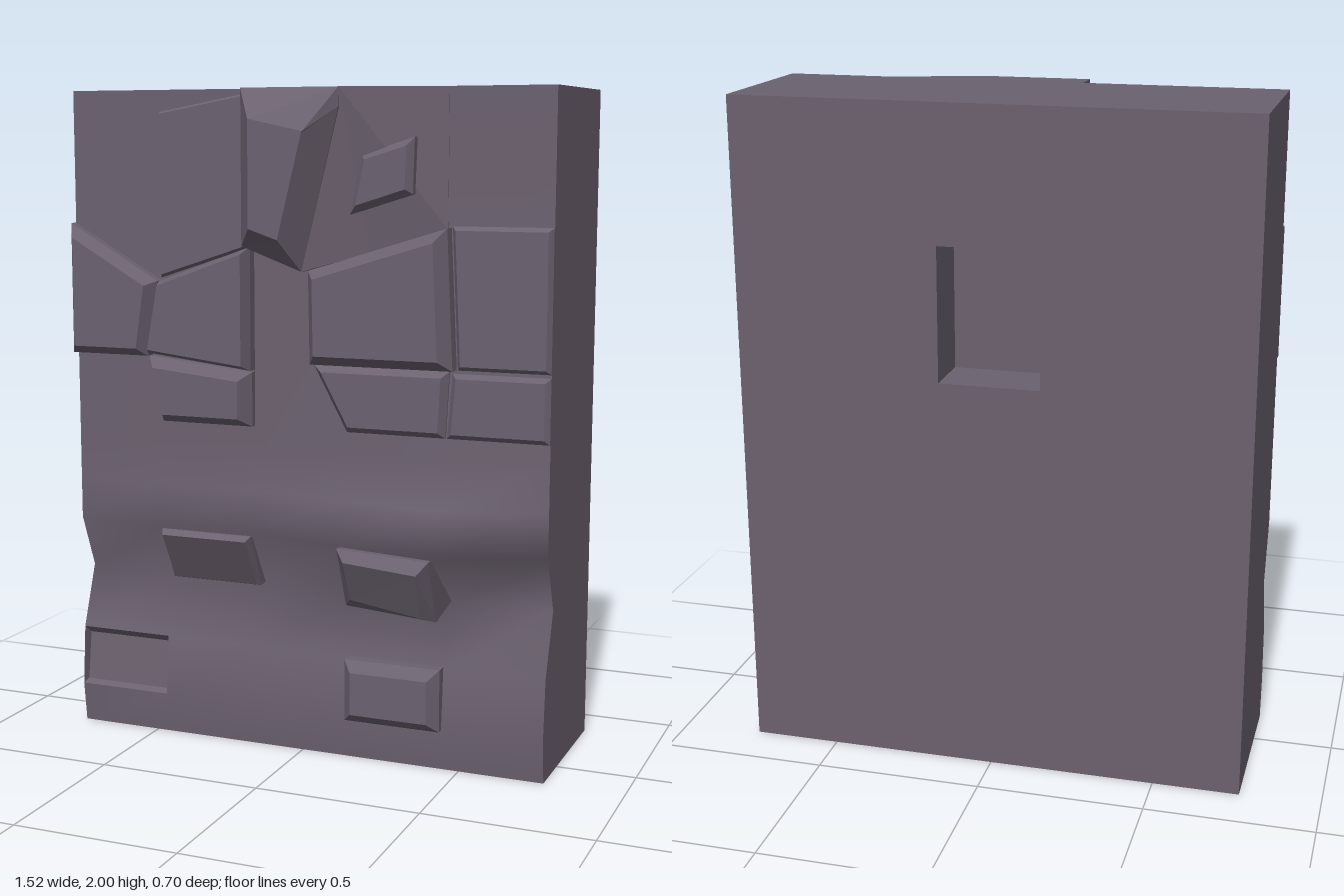
import * as THREE from 'three';

const material = new THREE.MeshStandardMaterial({ color: 0x6b616f });

function addMesh(group, name, geometry) {
  const mesh = new THREE.Mesh(geometry, material);
  mesh.name = name;
  group.add(mesh);
  return mesh;
}

// Flat-faced solid through matching rings (counter-clockwise from the front), last ring capped
function loft(rings, cap = true) {
  const out = [];
  const n = rings[0].length;
  for (let r = 0; r + 1 < rings.length; r++) {
    for (let i = 0; i < n; i++) {
      const j = (i + 1) % n;
      const [a, b, c, d] = [rings[r][i], rings[r][j], rings[r + 1][j], rings[r + 1][i]];
      out.push(...a, ...b, ...c, ...a, ...c, ...d);
    }
  }
  const last = rings[rings.length - 1];
  if (cap) for (let i = 1; i + 1 < n; i++) out.push(...last[0], ...last[i], ...last[i + 1]);
  const g = new THREE.BufferGeometry();
  g.setAttribute('position', new THREE.Float32BufferAttribute(out, 3));
  g.computeVertexNormals();
  return g;
}

const atZ = (pts, z) => pts.map(([x, y]) => [x, y, z]);

// Moves every edge of a counter-clockwise outline inward by d
function inset(pts, d) {
  const n = pts.length;
  const normal = (a, b) => {
    const l = Math.hypot(b[0] - a[0], b[1] - a[1]);
    return [(a[1] - b[1]) / l, (b[0] - a[0]) / l];
  };
  return pts.map((p, i) => {
    const u = normal(pts[(i + n - 1) % n], p);
    const v = normal(p, pts[(i + 1) % n]);
    const k = d / (1 + u[0] * v[0] + u[1] * v[1]);
    return [p[0] + (u[0] + v[0]) * k, p[1] + (u[1] + v[1]) * k];
  });
}

// Bevelled stone: straight sides up to the rim, then a chamfer to the face
const stone = (pts, rim, face, d) => loft([atZ(pts, 0.1), atZ(pts, rim), atZ(inset(pts, d), face)]);

export function createModel() {
  const group = new THREE.Group();
  group.name = 'stoneWall';

  // Core slab, and a back layer with a rectangular niche
  const core = addMesh(group, 'core', new THREE.BoxGeometry(1.52, 2, 0.25));
  core.position.set(0, 1, -0.055);
  const back = new THREE.Shape();
  back.moveTo(-0.76, 0).lineTo(0.76, 0).lineTo(0.76, 2).lineTo(-0.76, 2).closePath();
  const niche = new THREE.Path();
  niche.moveTo(-0.15, 1.2).lineTo(-0.15, 1.6).lineTo(0.15, 1.6).lineTo(0.15, 1.2).closePath();
  back.holes.push(niche);
  const backGeo = new THREE.ExtrudeGeometry(back, { depth: 0.17, bevelEnabled: false });
  addMesh(group, 'backWithNiche', backGeo.translate(0, 0, -0.35));

  // Smooth uneven front: one depth per column in each row
  const xs = [-0.76, -0.46, -0.15, 0.15, 0.45, 0.76];
  const flat = (z) => xs.map(() => z);
  const rows = [
    [0, flat(0.15)],
    [0.125, flat(0.165)],
    [0.31, flat(0.15)],
    [0.5, flat(0.08)],
    [0.67, [0.15, 0.18, 0.18, 0.22, 0.28, 0.15]],
    [0.8, [0.15, 0.17, 0.17, 0.2, 0.24, 0.15]],
    [0.94, flat(0.15)],
    [2, flat(0.15)],
  ];
  const cols = xs.length;
  const pos = [];
  const index = [];
  rows.forEach(([y, zs], r) => {
    xs.forEach((x, c) => {
      pos.push(x, y, zs[c]);
      const isPit = r === 1 && c === 0;
      if (r + 1 < rows.length && c + 1 < cols && !isPit) {
        const a = r * cols + c;
        index.push(a, a + 1, a + cols + 1, a, a + cols + 1, a + cols);
      }
    });
  });
  const front = new THREE.BufferGeometry();
  front.setAttribute('position', new THREE.Float32BufferAttribute(pos, 3));
  front.setIndex(index);
  front.computeVertexNormals();
  addMesh(group, 'unevenFront', front);

  // Edge strip joining the uneven front to the core
  const point = (r, c) => [xs[c], rows[r][0], rows[r][1][c]];
  const rim = [];
  const top = rows.length - 1;
  for (let c = 0; c < cols; c++) rim.push(point(0, c));
  for (let r = 1; r <= top; r++) rim.push(point(r, cols - 1));
  for (let c = cols - 2; c >= 0; c--) rim.push(point(top, c));
  for (let r = top - 1; r > 0; r--) rim.push(point(r, 0));
  addMesh(group, 'frontEdge', loft([atZ(rim, 0.06), rim], false));

  // Sunken stone at the lower edge
  const pit = [point(1, 0), point(1, 1), point(2, 1), point(2, 0)];
  addMesh(group, 'sunkenStone', loft([pit, [
    [-0.755, 0.135, 0.14], [-0.465, 0.135, 0.14], [-0.465, 0.285, 0.12], [-0.755, 0.285, 0.12]]]));

  // Fitted stones: outline, rim depth, face depth, chamfer width
  const stones = [
    [[[-0.76, 1.2], [-0.5, 1.2], [-0.465, 1.43], [-0.76, 1.6]], 0.18, 0.22, 0.025],
    [[[-0.5, 1.21], [-0.155, 1.17], [-0.155, 1.54], [-0.46, 1.43]], 0.18, 0.22, 0.015],
    [[[-0.455, 1], [-0.155, 1], [-0.155, 1.165], [-0.5, 1.2]], 0.17, 0.22, 0.027],
    [[[-0.46, 1.44], [-0.155, 1.54], [-0.155, 1.99], [-0.46, 1.935]], 0.16, 0.175, 0.007],
    [[[0.04, 1.2], [0.48, 1.2], [0.46, 1.605], [0.035, 1.475]], 0.19, 0.237, 0.03],
    [[[0.485, 1.2], [0.76, 1.2], [0.76, 1.61], [0.465, 1.61]], 0.155, 0.172, 0.012],
    [[[0.145, 1], [0.45, 1], [0.46, 1.195], [0.04, 1.195]], 0.155, 0.18, 0.018],
    [[[0.455, 1], [0.76, 1], [0.76, 1.19], [0.47, 1.19]], 0.155, 0.17, 0.014],
    [[[0.15, 0.125], [0.45, 0.125], [0.45, 0.315], [0.15, 0.315]], 0.185, 0.22, 0.03],
    [[[0.17, 1.64], [0.36, 1.7], [0.365, 1.86], [0.205, 1.81]], 0.2, 0.22, 0.018],
  ];
  stones.forEach(([pts, r, f, d], i) => addMesh(group, `stone${i + 1}`, stone(pts, r, f, d)));

  // Tall projecting boulder at the top
  const boulder = [[-0.155, 2], [-0.155, 1.545], [0.035, 1.475], [0.15, 1.945], [0.15, 2]];
  const boulderFace = [[-0.09, 1.91], [-0.09, 1.6], [0, 1.57], [0.075, 1.87], [0.078, 1.875]];
  addMesh(group, 'boulder', loft([atZ(boulder, 0.1), atZ(boulder, 0.24), atZ(boulderFace, 0.335)]));

  // Hollow slope falling away beside the boulder
  const slope = [[0.15, 2, 0.24], [0.035, 1.475, 0.24], [0.22, 1.53, 0.165], [0.45, 1.6, 0.152], [0.45, 2, 0.152]];
  addMesh(group, 'hollowSlope', loft([atZ(slope, 0.1), slope]));

  // Tilted stones on the underside of the bulge
  addMesh(group, 'lowTiltedStone', loft([
    [[-0.455, 0.5, 0.06], [-0.155, 0.5, 0.06], [-0.155, 0.66, 0.15], [-0.455, 0.66, 0.15]],
    [[-0.455, 0.495, 0.11], [-0.155, 0.495, 0.11], [-0.155, 0.665, 0.19], [-0.455, 0.665, 0.19]],
    [[-0.445, 0.5, 0.125], [-0.165, 0.5, 0.125], [-0.165, 0.65, 0.21], [-0.445, 0.65, 0.21]]]));
  addMesh(group, 'highTiltedStone', loft([
    [[0.15, 0.5, 0.07], [0.45, 0.5, 0.07], [0.45, 0.665, 0.2], [0.15, 0.665, 0.15]],
    [[0.145, 0.475, 0.16], [0.45, 0.47, 0.22], [0.45, 0.665, 0.3], [0.145, 0.665, 0.24]],
    [[0.18, 0.51, 0.22], [0.42, 0.495, 0.285], [0.43, 0.635, 0.352], [0.18, 0.635, 0.28]]]));

  return group;
}
